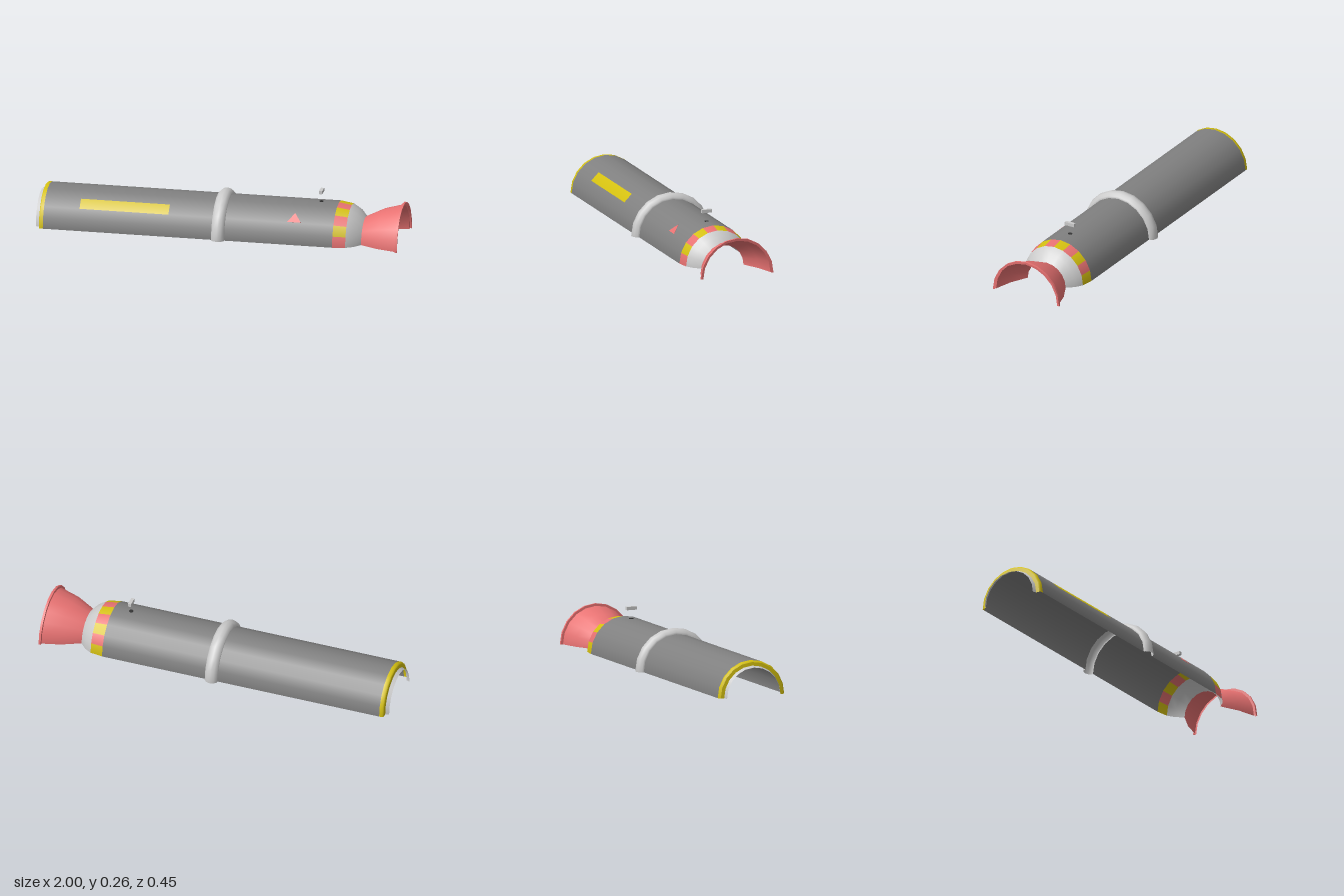
import * as THREE from 'three';

const FACETS = 10;              // facets around the half shell
const STEP = Math.PI / FACETS;
const R = 0.195;                // main tube radius
const mat = (color) => new THREE.MeshStandardMaterial({ color, side: THREE.DoubleSide });
const LIGHT = mat(0xcccccc), GREY = mat(0x808080), YELLOW = mat(0xd4c010), RED = mat(0xe87272);
const DARK = mat(0x333333);

export function createModel() {
  const model = new THREE.Group();

  function add(name, geometry, material) {
    const mesh = new THREE.Mesh(geometry, material);
    mesh.name = name;
    model.add(mesh);
    return mesh;
  }

  // Half-round skin along x from a profile of [x, radius]; facets count from the front edge over the top
  function skin(name, material, profile, first = 0, count = FACETS) {
    const points = profile.map(([x, r]) => new THREE.Vector2(r, x));
    const start = 2 * Math.PI - (first + count) * STEP;
    const geometry = new THREE.LatheGeometry(points, count, start, count * STEP);
    geometry.rotateZ(-Math.PI / 2);
    return add(name, geometry, material);
  }

  // Closed end: inner collar and yellow rim
  skin('endCollar', LIGHT, [[-1, 0.16], [-0.98, 0.168]]);
  skin('endRimFace', YELLOW, [[-0.98, 0.168], [-0.978, 0.187]]);
  skin('endRimBand', YELLOW, [[-0.978, 0.187], [-0.972, R], [-0.955, R]]);

  // Rear tube, with a yellow stripe set into one facet on the front side
  const a = -0.955, b = -0.025, s0 = -0.76, s1 = -0.27;
  skin('rearTubeLower', GREY, [[a, R], [b, R]], 0, 2);
  skin('rearTubeUpper', GREY, [[a, R], [b, R]], 3, 7);
  skin('rearTubeStripeEnd', GREY, [[a, R], [s0, R]], 2, 1);
  skin('stripe', YELLOW, [[s0, R], [s1, R]], 2, 1);
  skin('rearTubeStripeEnd', GREY, [[s1, R], [b, R]], 2, 1);

  // Bulging middle ring
  skin('middleRing', LIGHT, [
    [b, R], [-0.025, 0.206], [-0.01, 0.22], [0.01, 0.225], [0.03, 0.22], [0.045, 0.206], [0.045, R],
  ]);

  // Forward tube
  skin('forwardTube', GREY, [[0.045, R], [0.64, R]]);

  // Red triangle, thin enough to lie in the wall and show on both faces
  const triangle = new THREE.Shape();
  triangle.moveTo(-0.038, -0.027);
  triangle.lineTo(0.038, -0.027);
  triangle.lineTo(0, 0.029);
  const mark = new THREE.ExtrudeGeometry(triangle, { depth: 0.002, bevelEnabled: false });
  mark.translate(0.422, 0, R * Math.cos(STEP / 2) - 0.001);
  mark.rotateX(-Math.PI / 4);
  add('triangleMark', mark, RED);

  // Alternating red and yellow warning band
  for (let i = 0; i < FACETS; i++) {
    skin('warningBand' + i, i % 2 ? YELLOW : RED, [[0.64, R], [0.71, 0.184]], i, 1);
  }

  // Neck narrowing to the throat
  skin('neck', LIGHT, [[0.71, 0.184], [0.75, 0.16], [0.785, 0.12]]);

  // Flared nozzle with a raised lip
  skin('nozzle', RED, [[0.785, 0.12], [0.885, 0.169], [0.987, 0.197]]);
  skin('nozzleLipBack', RED, [[0.987, 0.197], [0.988, 0.21]]);
  skin('nozzleLip', RED, [[0.988, 0.21], [1, 0.21]]);
  skin('nozzleLipFace', RED, [[1, 0.21], [0.999, 0.197]]);

  // Floating sight block above its dark socket
  add('sightBlock', new THREE.BoxGeometry(0.018, 0.018, 0.058), LIGHT).position.set(0.543, 0.252, 0);
  add('sightSocket', new THREE.CylinderGeometry(0.012, 0.012, 0.006, 8), DARK).position.set(0.543, 0.193, 0);

  return model;
}
